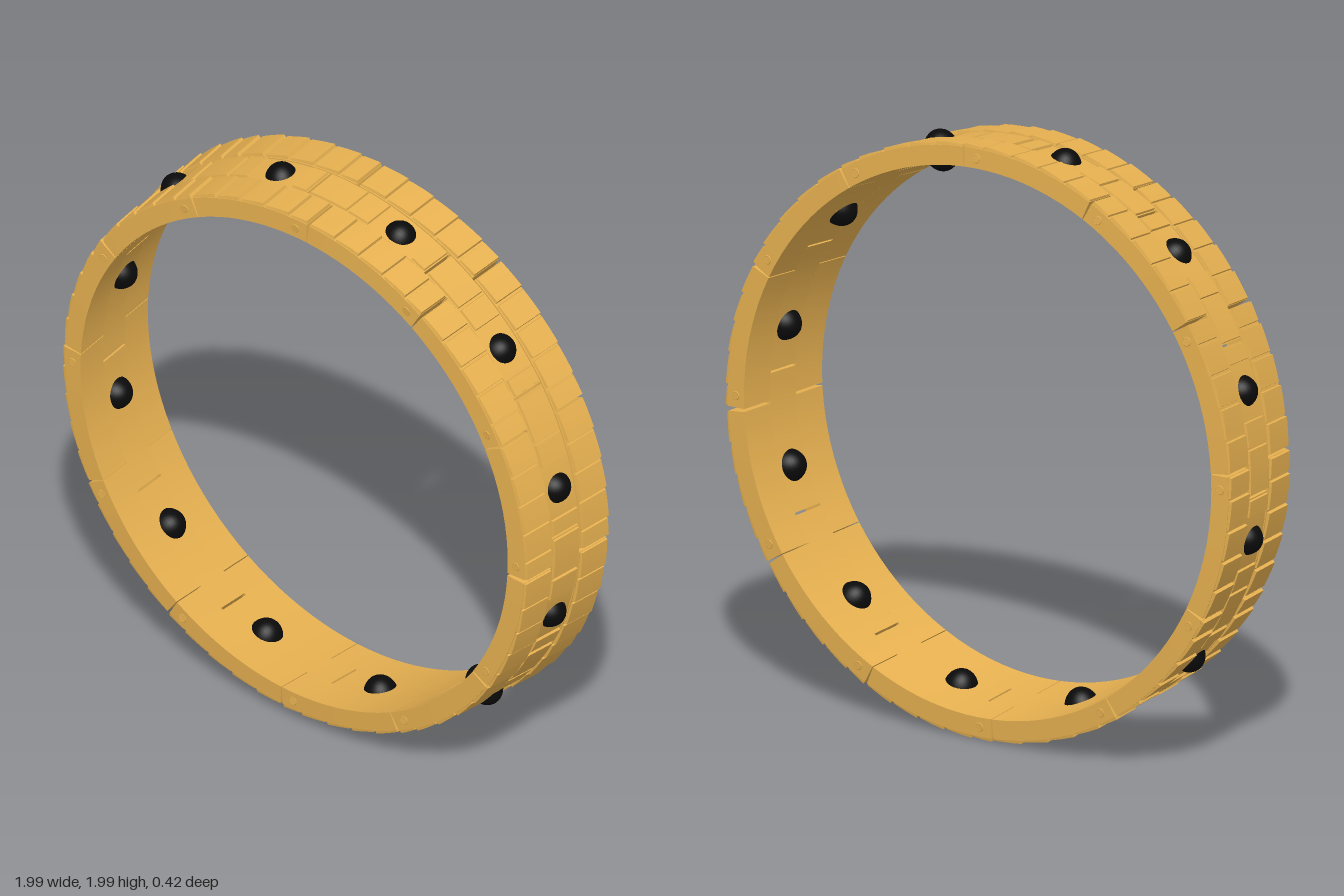
import * as THREE from 'three';

const LINKS = 12, DEG = Math.PI / 180, HALF = 0.193, BAND = 0.062;
const TAPER = 0.09; // the band flares towards the back
const INNER = 0.903, OUTER = 0.969, MID = 0.936;

const gold = new THREE.MeshStandardMaterial({ color: 0xe6b050 });
const black = new THREE.MeshStandardMaterial({ color: 0x0a0a0a });

// Curved block: degrees a0..a1, depth z0..z1, radii r0..r1, top face inset by bevel
function arcBlock(name, a0, a1, z0, z1, r0, r1, bevel = 0, shingle = 0) {
  const g = new THREE.BoxGeometry(1, 1, 1, Math.max(2, Math.ceil((a1 - a0) / 3)), 1, 1);
  const p = g.attributes.position;
  for (let i = 0; i < p.count; i++) {
    const top = p.getY(i) > 0;
    const u = 0.5 - p.getX(i), w = p.getZ(i) + 0.5;
    const inset = top ? bevel : 0;
    const a = THREE.MathUtils.lerp(a0 * DEG + inset, a1 * DEG - inset, u);
    const z = THREE.MathUtils.lerp(z0 + inset, z1 - inset, w);
    const r = (top ? r1 + shingle * (0.5 - u) : r0) - TAPER * z;
    p.setXYZ(i, r * Math.cos(a), r * Math.sin(a), z);
  }
  g.computeVertexNormals();
  const mesh = new THREE.Mesh(g, gold);
  mesh.name = name;
  return mesh;
}

// One link; 0 degrees is its hinge pin
function makeLink(first) {
  const link = new THREE.Group();
  const start = first ? -2.5 : -2.9, end = 26.9;

  // Side rails with the outer knuckles, and the middle band with its tongue
  link.add(arcBlock('frontRail', start, end, BAND, HALF, INNER, OUTER, 0.003));
  link.add(arcBlock('backRail', start, end, -HALF, -BAND, INNER, OUTER, 0.003));
  link.add(arcBlock('middleBand', 3.7, 33.2, -BAND, BAND, INNER, OUTER - 0.002));

  // Raised tiles along both rails
  const rows = [start, 1.7, 8, 14.2, 20.4, end];
  for (let i = 0; i < rows.length - 1; i++) {
    const a0 = rows[i] + 0.2, a1 = rows[i + 1] - 0.2;
    const r0 = OUTER - 0.004, r1 = OUTER + 0.009;
    link.add(arcBlock('frontTile', a0, a1, BAND + 0.006, HALF - 0.004, r0, r1, 0.003, 0.005));
    link.add(arcBlock('backTile', a0, a1, -HALF + 0.004, -BAND - 0.006, r0, r1, 0.003, 0.005));
  }

  // Middle tiles leave a sunken window around the stud
  for (const [a0, a1] of [[3.9, 7.4], [18.6, 23.6], [24, 33]]) {
    link.add(arcBlock('middleTile', a0, a1, -BAND + 0.004, BAND - 0.004, OUTER - 0.006, OUTER + 0.006, 0.003));
  }

  // Hinge pin, leaning with the flare of the band
  const pinArm = new THREE.Group();
  const pin = new THREE.Mesh(new THREE.CylinderGeometry(0.012, 0.012, 2 * HALF + 0.004, 16), gold);
  pin.name = 'hingePin';
  pin.rotation.x = Math.PI / 2;
  pinArm.name = 'hinge';
  pinArm.position.x = MID;
  pinArm.rotation.y = -Math.atan(TAPER);
  pinArm.add(pin);
  for (const s of [-1, 1]) {
    const rim = new THREE.Mesh(new THREE.TorusGeometry(0.013, 0.0025, 6, 20), gold);
    rim.name = 'pinRim';
    rim.position.z = s * HALF;
    pinArm.add(rim);
  }
  link.add(pinArm);

  // Round stud set through the middle of the link
  const stud = new THREE.Mesh(new THREE.SphereGeometry(1, 32, 20), black);
  stud.name = 'stud';
  stud.scale.set(0.07, 0.058, 0.058);
  stud.rotation.z = 13 * DEG;
  stud.position.set(0.931 * Math.cos(13 * DEG), 0.931 * Math.sin(13 * DEG), 0);
  link.add(stud);
  return link;
}

export function createModel() {
  const model = new THREE.Group();
  model.name = 'linkedBand';
  const ring = new THREE.Group();
  ring.name = 'ring';
  for (let i = 0; i < LINKS; i++) {
    const link = makeLink(i === 0);
    link.name = 'link';
    link.rotation.z = (-0.6 + i * 360 / LINKS) * DEG;
    ring.add(link);
  }
  // The ring leans very slightly
  ring.rotation.set(0.006, 0.015, 0);
  ring.position.y = 1.0;
  model.add(ring);
  return model;
}
